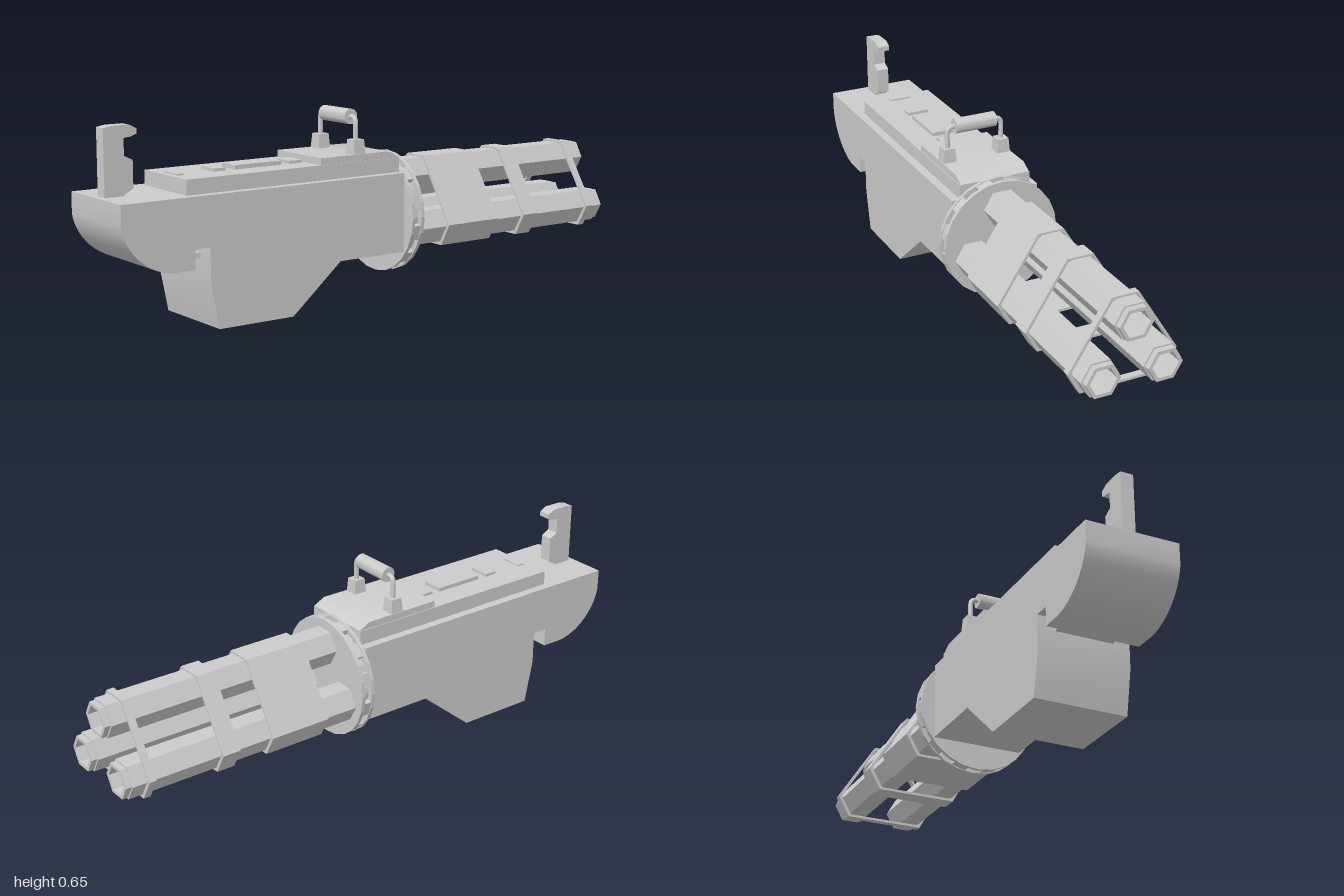
import * as THREE from 'three';
import { toCreasedNormals } from 'three/addons/utils/BufferGeometryUtils.js';

const mat = new THREE.MeshStandardMaterial({ color: 0xcccccc });
const flat = new THREE.MeshStandardMaterial({ color: 0xcccccc, flatShading: true });

export function createModel() {
  const model = new THREE.Group();

  const add = (name, geo, material = flat, parent = model) => {
    const mesh = new THREE.Mesh(geo, material);
    mesh.name = name;
    parent.add(mesh);
    return mesh;
  };
  // box from its x half width and its y and z ranges
  const box = (name, hw, y0, y1, z0, z1, parent = model) => {
    const m = add(name, new THREE.BoxGeometry(2 * hw, y1 - y0, z1 - z0), flat, parent);
    m.position.set(0, (y0 + y1) / 2, (z0 + z1) / 2);
    return m;
  };
  // side profile in (z, y), extruded across x
  const slab = (name, shape, hw) => {
    const g = new THREE.ExtrudeGeometry(shape, { depth: 2 * hw, bevelEnabled: false, curveSegments: 12 });
    g.translate(0, 0, -hw).rotateY(-Math.PI / 2);
    return add(name, toCreasedNormals(g, 0.5), mat);
  };
  const poly = (pts) => new THREE.Shape(pts.map(([x, y]) => new THREE.Vector2(x, y)));
  // cross-section in (x, y), extruded between two z values
  const section = (name, shape, z0, z1, parent = model) => {
    const g = new THREE.ExtrudeGeometry(shape, { depth: z1 - z0, bevelEnabled: false });
    return add(name, g.translate(0, 0, z0), flat, parent);
  };

  // housing with rounded nose, trigger slot and lower box
  const body = new THREE.Shape();
  body.moveTo(-0.075, 0.43);
  body.lineTo(-0.075, 0.16);
  body.lineTo(0.19, 0.16);
  body.lineTo(0.38, 0);
  body.lineTo(0.66, 0);
  body.lineTo(0.69, 0.15);
  body.lineTo(0.69, 0.265);
  body.lineTo(0.745, 0.265);
  body.lineTo(0.745, 0.2);
  body.lineTo(0.82, 0.2);
  body.bezierCurveTo(0.91, 0.205, 0.99, 0.28, 1, 0.36);
  body.lineTo(1, 0.43);
  slab('housing', body, 0.16);
  box('slotBar', 0.1, 0.222, 0.24, 0.685, 0.75);

  // stepped cover
  box('topPlate', 0.13, 0.43, 0.48, -0.075, 0.755);
  slab('upperPlate', poly([[-0.075, 0.475], [0.245, 0.475], [0.245, 0.503], [-0.035, 0.503], [-0.075, 0.482]]), 0.127);
  for (const [z0, z1, h] of [[0.26, 0.31, 0.49], [0.34, 0.52, 0.494], [0.555, 0.6, 0.49], [0.71, 0.735, 0.485]])
    box('coverPad', 0.039, 0.475, h, z0, z1);

  // hooked post at the end
  slab('hookedPost', poly([[0.98, 0.42], [0.98, 0.645], [0.95, 0.65], [0.89, 0.65], [0.865, 0.637], [0.865, 0.62],
    [0.885, 0.613], [0.91, 0.61], [0.91, 0.555], [0.88, 0.54], [0.88, 0.45], [0.91, 0.435], [0.91, 0.42]]), 0.022);

  // carrying handle
  const handle = new THREE.Group();
  handle.name = 'carryHandle';
  handle.position.z = 0.085;
  model.add(handle);
  for (const s of [-1, 1]) {
    const foot = new THREE.CylinderGeometry(0.02 * Math.SQRT2, 0.024 * Math.SQRT2, 0.05, 4).rotateY(Math.PI / 4);
    add('handleFoot', foot, flat, handle).position.set(s * 0.101, 0.526, 0);
    const path = new THREE.CurvePath();
    const v = (x, y) => new THREE.Vector3(s * x, y, 0);
    path.add(new THREE.LineCurve3(v(0.101, 0.54), v(0.101, 0.6)));
    path.add(new THREE.QuadraticBezierCurve3(v(0.101, 0.6), v(0.101, 0.624), v(0.083, 0.624)));
    path.add(new THREE.LineCurve3(v(0.083, 0.624), v(0.06, 0.624)));
    add('handleRod', new THREE.TubeGeometry(path, 24, 0.0085, 10), mat, handle);
  }
  const grip = toCreasedNormals(new THREE.CylinderGeometry(0.026, 0.026, 0.15, 20).rotateZ(Math.PI / 2), 0.6);
  add('handleGrip', grip, mat, handle).position.y = 0.624;

  // rotor ring with lugs between two flanges
  const rotor = new THREE.Group();
  rotor.name = 'rotor';
  rotor.position.y = 0.28;
  model.add(rotor);
  for (const [r, z0, z1] of [[0.209, -0.086, -0.074], [0.19, -0.115, -0.08], [0.209, -0.125, -0.112]]) {
    const g = new THREE.CylinderGeometry(r, r, z1 - z0, 24).rotateX(Math.PI / 2).rotateZ(Math.PI / 2);
    add('rotorDisc', g, flat, rotor).position.z = (z0 + z1) / 2;
  }
  for (let i = 0; i < 12; i++) {
    const a = (i / 12) * Math.PI * 2 + Math.PI / 12;
    const lug = add('rotorLug', new THREE.BoxGeometry(0.025, 0.052, 0.035), flat, rotor);
    lug.position.set(Math.cos(a) * 0.192, Math.sin(a) * 0.192, -0.1);
    lug.rotation.z = a;
  }

  // three hollow hexagonal barrels
  const hex = (r) => Array.from({ length: 6 }, (_, i) => [r * Math.cos(i * Math.PI / 3), r * Math.sin(i * Math.PI / 3)]);
  for (const [x, y] of [[0, 0.397], [0.107, 0.23], [-0.107, 0.23]]) {
    const barrel = new THREE.Group();
    barrel.name = 'barrel';
    barrel.position.set(x, y, 0);
    model.add(barrel);
    for (const [r, z0, z1] of [[0.066, -0.98, -0.12], [0.06, -1, -0.97]]) {
      const s = poly(hex(r));
      s.holes.push(poly(hex(0.047)));
      section('barrelTube', s, z0, z1, barrel);
    }
  }

  // clamps wrapped around the barrels
  const outline = [[0.046, 0.461], [-0.046, 0.461], [-0.189, 0.236], [-0.146, 0.16], [0.146, 0.16], [0.189, 0.236]];
  const inner = outline.map(([x, y]) => [x * 0.93, 0.29 + (y - 0.29) * 0.93]);
  for (const [z0, z1] of [[-0.47, -0.25], [-0.66, -0.595], [-0.93, -0.905]]) {
    const s = poly(outline);
    s.holes.push(poly(inner));
    section('barrelClamp', s, z0, z1);
  }
  return model;
}
